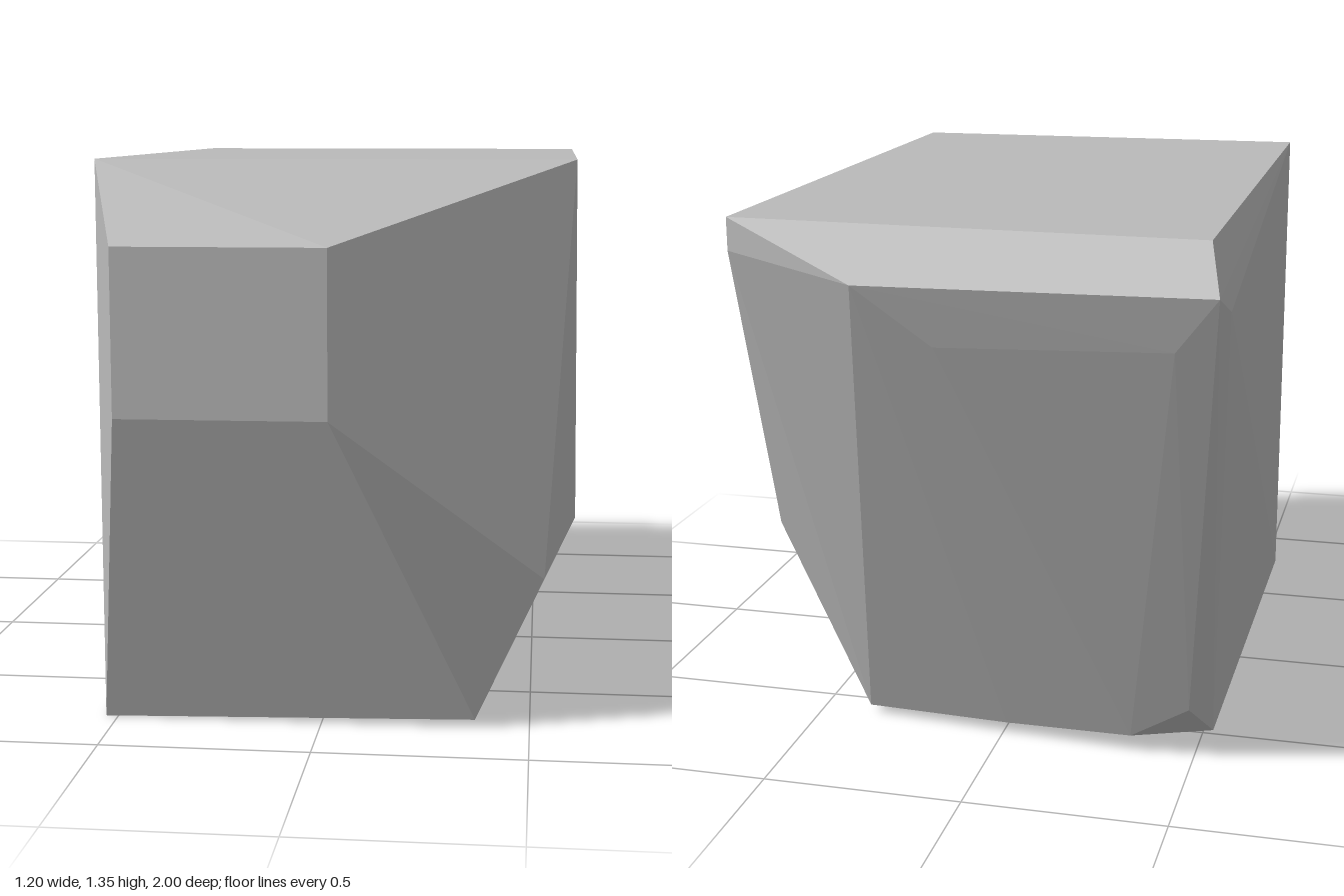
import * as THREE from 'three';
import { ConvexGeometry } from 'three/addons/geometries/ConvexGeometry.js';

export function createModel() {
  const group = new THREE.Group();
  group.name = 'stone';
  const stoneGrey = new THREE.MeshStandardMaterial({ color: 0xbababa });
  stoneGrey.name = 'stone grey';

  // Corners of the faceted block, grouped by face
  const top = [[-0.53, 1.35, 0.79], [0.59, 1.35, 0.76], [0.6, 1.35, -0.83], [-0.55, 1.35, -0.86]];
  const nose = [[-0.45, 1.16, 1], [0.04, 1.16, 0.99], [0.04, 0.77, 0.99], [-0.45, 0.77, 1]];
  const base = [[-0.53, 0, 0.79], [0.37, 0.02, 0.79], [0.37, 0.02, -0.58],
    [-0.01, 0.03, -0.62], [-0.34, 0.045, -0.65], [-0.53, 0.02, -0.52]];
  const sides = [[0.6, 0.51, 0.74], [0.6, 0.51, -0.58], [0.53, 0.37, 0.79],
    [0.6, 1.27, -0.83], [-0.6, 1.2, -0.89]];
  const back = [[0.24, 1.24, -1], [-0.59, 1.25, -1], [0.06, 1.1, -0.965],
    [-0.49, 1.12, -0.97], [-0.49, 0.14, -0.67]];

  // Flat facets wrapped around all corners
  const corners = [...top, ...nose, ...base, ...sides, ...back].map((p) => new THREE.Vector3(...p));
  const block = new THREE.Mesh(new ConvexGeometry(corners), stoneGrey);
  block.name = 'stoneBlock';
  group.add(block);
  return group;
}
